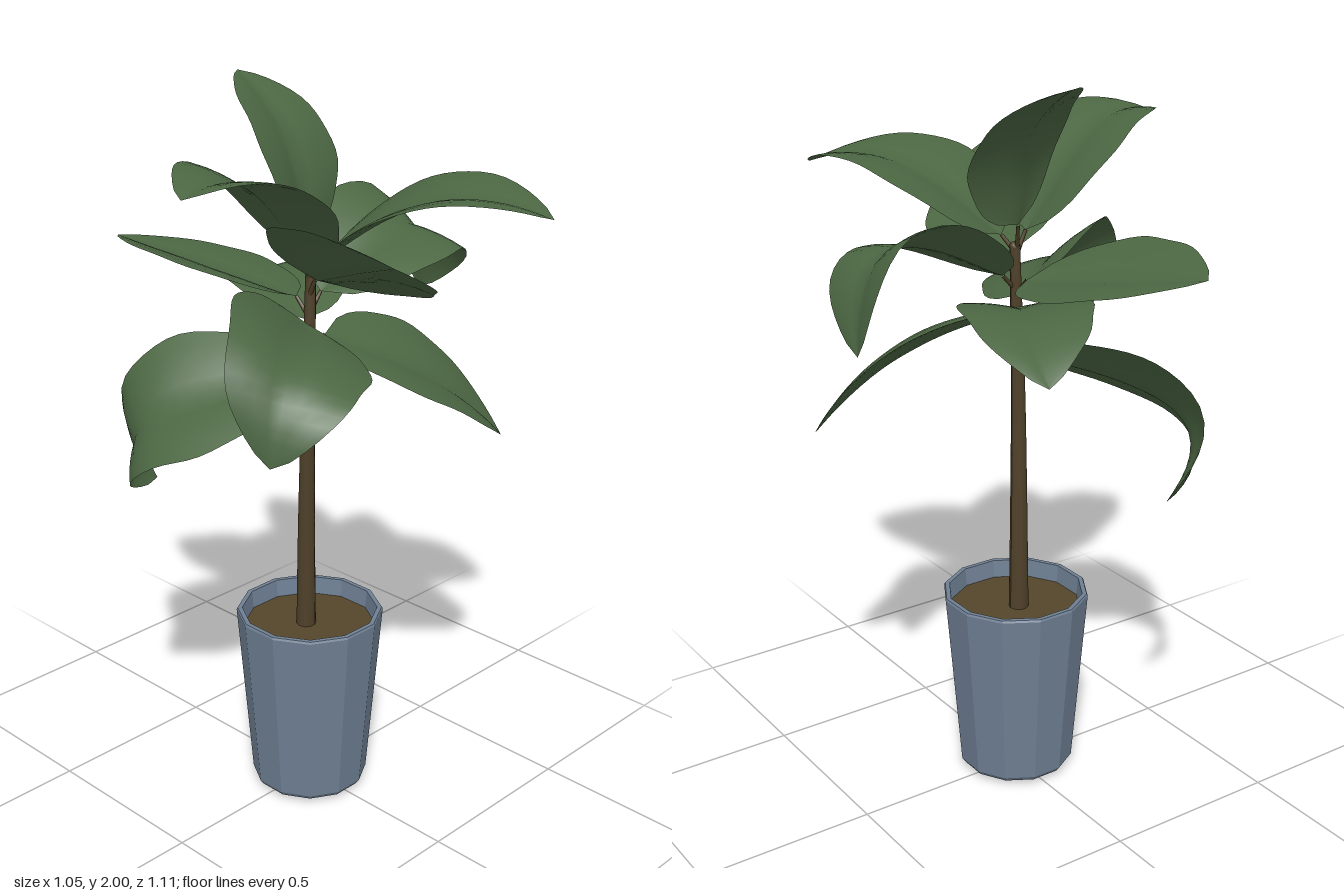
import * as THREE from 'three';

const V = (x, y, z) => new THREE.Vector3(x, y, z);
const CX = -0.008, CZ = 0.01;

// Ovate blade: rounded base, widest before the middle, pointed tip, folded along the midrib
function leafGeometry(rib, across) {
  const ROWS = 20, COLS = 8;
  const half = across.length() / 2;
  const shape = (t) => Math.pow(t, 0.6) * Math.pow(1 - t, 0.8);
  const peak = shape(0.6 / 1.4);
  const pos = [], idx = [];
  for (let i = 0; i <= ROWS; i++) {
    const t = i / ROWS;
    const p = rib.getPointAt(t), tan = rib.getTangentAt(t);
    const side = across.clone().addScaledVector(tan, -across.dot(tan)).normalize();
    const up = tan.clone().cross(side);
    const width = half * shape(t) / peak * (1 + 0.025 * Math.sin(t * 19));
    for (let j = 0; j <= COLS; j++) {
      const s = j / COLS * 2 - 1;
      const lift = width * (0.3 * Math.abs(s) - 0.15 * s * s - 0.08);
      const q = p.clone().addScaledVector(side, s * width).addScaledVector(up, lift);
      pos.push(q.x, q.y, q.z);
      if (i < ROWS && j < COLS) {
        const a = i * (COLS + 1) + j, b = a + COLS + 1;
        idx.push(a, b, a + 1, b, b + 1, a + 1);
      }
    }
  }
  const g = new THREE.BufferGeometry();
  g.setAttribute('position', new THREE.Float32BufferAttribute(pos, 3));
  g.setIndex(idx);
  g.computeVertexNormals();
  return g;
}

// Tube along a path, narrowing from radius r0 to r1
function taperedTube(path, steps, sides, r0, r1) {
  const g = new THREE.TubeGeometry(path, steps, 1, sides);
  const p = g.attributes.position;
  for (let k = 0; k < p.count; k++) {
    const t = Math.floor(k / (sides + 1)) / steps;
    const c = path.getPointAt(t);
    const q = V(0, 0, 0).fromBufferAttribute(p, k).sub(c).multiplyScalar(r0 + (r1 - r0) * t).add(c);
    p.setXYZ(k, q.x, q.y, q.z);
  }
  g.computeVertexNormals();
  return g;
}

// Flat facets
function faceted(geometry) {
  const g = geometry.toNonIndexed();
  g.computeVertexNormals();
  return g;
}

export function createModel() {
  const root = new THREE.Group();
  root.name = 'pottedPlant';
  const material = (name, color, side = THREE.FrontSide) => {
    const m = new THREE.MeshStandardMaterial({ color, side });
    m.name = name;
    return m;
  };
  const potBlue = material('potBlue', 0x6f8094);
  const bark = material('bark', 0x4f412a);
  const soilBrown = material('soilBrown', 0x54462a);
  const leafGreen = material('leafGreen', 0x4c6743, THREE.DoubleSide);

  const add = (name, geometry, mat, parent = root) => {
    const m = new THREE.Mesh(geometry, mat);
    m.name = name;
    parent.add(m);
    return m;
  };

  // Pot: tapered twelve-sided shell with inner wall and drain nub
  const profile = [[0, 0.015], [0.155, 0.015], [0.164, 0.028], [0.206, 0.545], [0.203, 0.551],
    [0.19, 0.551], [0.184, 0.49]].map(([r, y]) => new THREE.Vector2(r, y));
  add('pot', faceted(new THREE.LatheGeometry(profile, 12, Math.PI / 12)), potBlue).position.set(CX, 0, CZ);
  add('drainNub', new THREE.CylinderGeometry(0.013, 0.013, 0.02, 8), potBlue).position.set(CX, 0.01, CZ);
  const soil = add('soil', new THREE.CylinderGeometry(0.186, 0.182, 0.02, 12), soilBrown);
  soil.position.set(CX, 0.49, CZ);
  soil.rotation.y = Math.PI / 12;

  // Trunk: slightly bent, narrowing upwards
  const trunkPath = new THREE.CatmullRomCurve3(
    [V(-0.012, 0.48, 0), V(-0.015, 0.8, 0.004), V(-0.021, 1.15, 0.016), V(-0.01, 1.54, 0.015)]);
  add('trunk', taperedTube(trunkPath, 12, 10, 0.028, 0.014), bark);
  add('trunkTip', new THREE.SphereGeometry(0.015, 8, 6), bark).position.set(-0.01, 1.54, 0.015);

  // Leaf: base height near the trunk, midrib middle, tip, and the vector across the blade
  const leaf = (name, baseY, mid, tip, across) => {
    const group = new THREE.Group();
    group.name = name;
    root.add(group);
    const base = V(mid.x - CX, 0, mid.z - CZ).setLength(0.04).add(V(CX, baseY, CZ));
    const control = mid.clone().multiplyScalar(2).addScaledVector(base, -0.5).addScaledVector(tip, -0.5);
    const rib = new THREE.QuadraticBezierCurve3(base, control, tip);
    add('blade', leafGeometry(rib, across), leafGreen, group);
    const start = V(-0.018, Math.min(1.52, baseY - 0.05), 0.018);
    add('stalk', taperedTube(new THREE.LineCurve3(start, base), 3, 6, 0.007, 0.005), bark, group);
  };
  leaf('topBackLeaf', 1.61, V(0.045, 1.85, -0.11), V(0.055, 2, -0.32), V(-0.33, 0, 0.1));
  leaf('topRightLeaf', 1.58, V(-0.28, 1.82, 0.07), V(-0.53, 1.83, 0.11), V(0, 0, 0.39));
  leaf('topFrontLeftLeaf', 1.57, V(0.16, 1.75, 0.29), V(0.3, 1.71, 0.55), V(0.38, 0, -0.2));
  leaf('topFrontRightLeaf', 1.52, V(-0.15, 1.63, 0.3), V(-0.29, 1.71, 0.55), V(0.35, -0.22, 0.13));
  leaf('archedLeftLeaf', 1.47, V(0.38, 1.6, 0.01), V(0.515, 1.36, -0.07), V(0, 0.13, -0.37));
  leaf('backLeaf', 1.46, V(-0.1, 1.52, -0.28), V(-0.18, 1.555, -0.555), V(-0.39, 0.08, 0.13));
  leaf('backLeftLeaf', 1.39, V(0.15, 1.45, -0.28), V(0.24, 1.345, -0.49), V(-0.3, 0, -0.15));
  leaf('lowBackRightLeaf', 1.25, V(-0.32, 1.12, -0.31), V(-0.225, 0.9, -0.375), V(-0.2, -0.22, 0.27));
  leaf('lowFrontRightLeaf', 1.4, V(-0.34, 1.42, 0.28), V(-0.45, 1.2, 0.31), V(0.18, -0.2, 0.28));
  leaf('lowFrontLeftLeaf', 1.36, V(0.25, 1.24, 0.21), V(0.45, 1.03, 0.3), V(0.19, 0.11, -0.32));
  return root;
}
